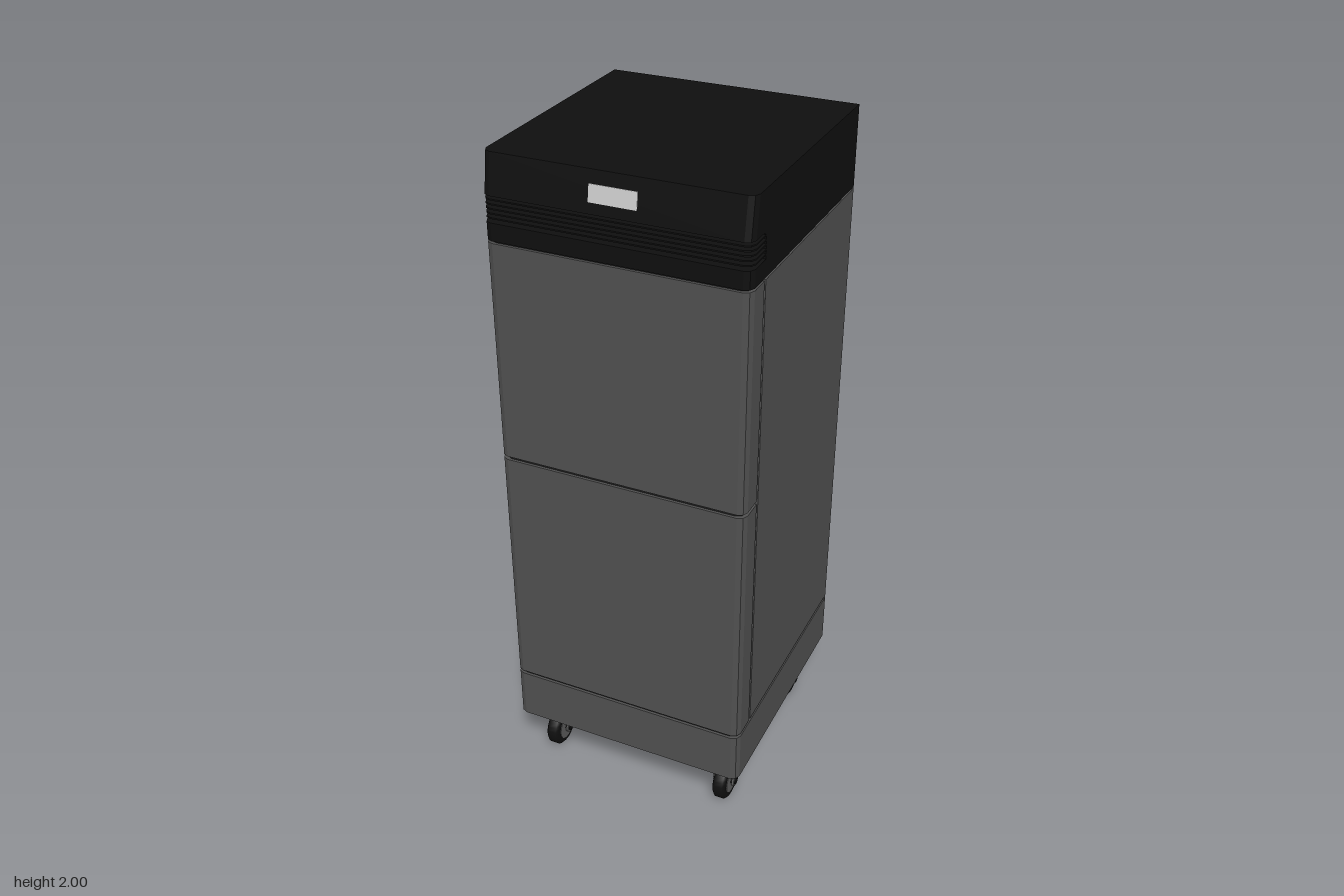
import * as THREE from 'three';

const W = 0.367, D = 0.372;
const mat = (color) => new THREE.MeshStandardMaterial({ color });
const grey = mat(0x505050), black = mat(0x0f0f0f), dark = mat(0x1c1c1c),
  steel = mat(0x5a5a5a), light = mat(0xcccccc);

function add(parent, name, geometry, material, x = 0, y = 0, z = 0) {
  const mesh = new THREE.Mesh(geometry, material);
  mesh.name = name;
  mesh.position.set(x, y, z);
  parent.add(mesh);
  return mesh;
}

// Upright slab from y0 to y1 whose two front corners are eased
function slab(y0, y1, zBack, zFront = D, w = W) {
  const right = [[w, zFront - 0.022], [w - 0.007, zFront - 0.007], [w - 0.022, zFront]];
  const left = right.map(([x, z]) => [-x, z]).reverse();
  const outline = [[w, zBack], ...right, ...left, [-w, zBack]];
  const shape = new THREE.Shape(outline.map(([x, z]) => new THREE.Vector2(x, -z)));
  const geometry = new THREE.ExtrudeGeometry(shape, { depth: y1 - y0, bevelEnabled: false });
  return geometry.rotateX(-Math.PI / 2).translate(0, y0, 0);
}

function box(y0, y1, z0, z1, w = W) {
  return new THREE.BoxGeometry(2 * w, y1 - y0, z1 - z0)
    .translate(0, (y0 + y1) / 2, (z0 + z1) / 2);
}

function createCabinet() {
  const g = new THREE.Group();
  g.name = 'cabinet';
  // The dark core shows only in the seams between panels
  add(g, 'seamCore', slab(0.3, 1.8, -0.365, D - 0.008, W - 0.008), dark);
  add(g, 'plinth', slab(0.18, 0.34, -D), grey);
  add(g, 'housing', box(0.35, 1.762, -D, 0.28), grey);
  add(g, 'backPanel', box(0.2, 1.768, -D, -0.36), grey);
  add(g, 'lowerDoor', slab(0.35, 1.114, 0.289), grey);
  add(g, 'upperDoor', slab(1.124, 1.762, 0.289), grey);
  return g;
}

function createHead() {
  const g = new THREE.Group();
  g.name = 'head';
  const y0 = 1.768, lip = 1.818, brow = 1.89, top = 2, recess = 0.285;
  add(g, 'headHousing', box(y0, top, -D, recess), black);
  add(g, 'lowerLip', slab(y0, lip, recess), black);

  // Control face leans back toward the top
  const lean = 0.018;
  const face = slab(brow, top, recess);
  const p = face.attributes.position;
  for (let i = 0; i < p.count; i++) {
    if (p.getZ(i) > 0.3) p.setZ(i, p.getZ(i) - lean * (p.getY(i) - brow) / (top - brow));
  }
  face.computeVertexNormals();
  add(g, 'controlFace', face, black);

  // Rounded inner corner of the vent slot
  const r = 0.025;
  const s = new THREE.Shape();
  s.moveTo(0, 0);
  s.lineTo(0, -r);
  s.quadraticCurveTo(0, 0, r, 0);
  const fillet = new THREE.ExtrudeGeometry(s, { depth: 2 * W, bevelEnabled: false, curveSegments: 6 });
  fillet.translate(0, 0, -W).rotateY(-Math.PI / 2);
  add(g, 'ventFillet', fillet, black, 0, brow, recess);

  // Thin slats across the slot
  for (let i = 0; i < 5; i++) {
    const y = lip + 0.01 + i * 0.0125;
    add(g, 'ventSlat', slab(y, y + 0.004, recess, D - 0.002), black);
  }

  const display = add(g, 'display', new THREE.BoxGeometry(0.132, 0.046, 0.004), light,
    0, 1.942, D - lean * (1.942 - brow) / (top - brow));
  display.rotation.x = -Math.atan(lean / (top - brow));
  return g;
}

function createCaster(x, z) {
  const g = new THREE.Group();
  g.name = 'caster';
  g.position.set(x, 0, z);
  const R = 0.063, trail = 0.028;
  const axle = (r, w, n = 28) => new THREE.CylinderGeometry(r, r, w, n).rotateZ(Math.PI / 2);

  add(g, 'stem', new THREE.CylinderGeometry(0.022, 0.022, 0.07, 20), steel, 0, 0.148, 0);
  // Tyre with rounded shoulders
  const tyre = [[0.03, -0.02], [0.055, -0.02], [R, -0.013], [R, 0.013], [0.055, 0.02], [0.03, 0.02]]
    .map(([a, b]) => new THREE.Vector2(a, b));
  add(g, 'tyre', new THREE.LatheGeometry(tyre, 28).rotateZ(Math.PI / 2), black, 0, R, trail);
  add(g, 'hub', axle(0.042, 0.044), steel, 0, R, trail);
  add(g, 'axle', axle(0.012, 0.072, 12), black, 0, R, trail);

  // Fork: bridge over the wheel and an arm down each side
  add(g, 'forkBridge', new THREE.BoxGeometry(0.062, 0.01, 0.044), black, 0, 0.13, 0.004);
  const arm = new THREE.Shape();
  arm.moveTo(-0.02, 0.134);
  arm.lineTo(0.024, 0.134);
  arm.lineTo(trail + 0.018, R);
  arm.absarc(trail, R, 0.018, 0, -Math.PI, true);
  arm.closePath();
  for (const side of [-1, 1]) {
    const geometry = new THREE.ExtrudeGeometry(arm, { depth: 0.007, bevelEnabled: false });
    geometry.translate(0, 0, -0.0035).rotateY(-Math.PI / 2);
    add(g, 'forkArm', geometry, steel, side * 0.03, 0, 0);
  }
  return g;
}

export function createModel() {
  const model = new THREE.Group();
  model.name = 'rollingCabinet';
  model.add(createCabinet(), createHead());
  for (const x of [-0.287, 0.287]) {
    for (const z of [0.234, -0.286]) model.add(createCaster(x, z));
  }
  return model;
}
